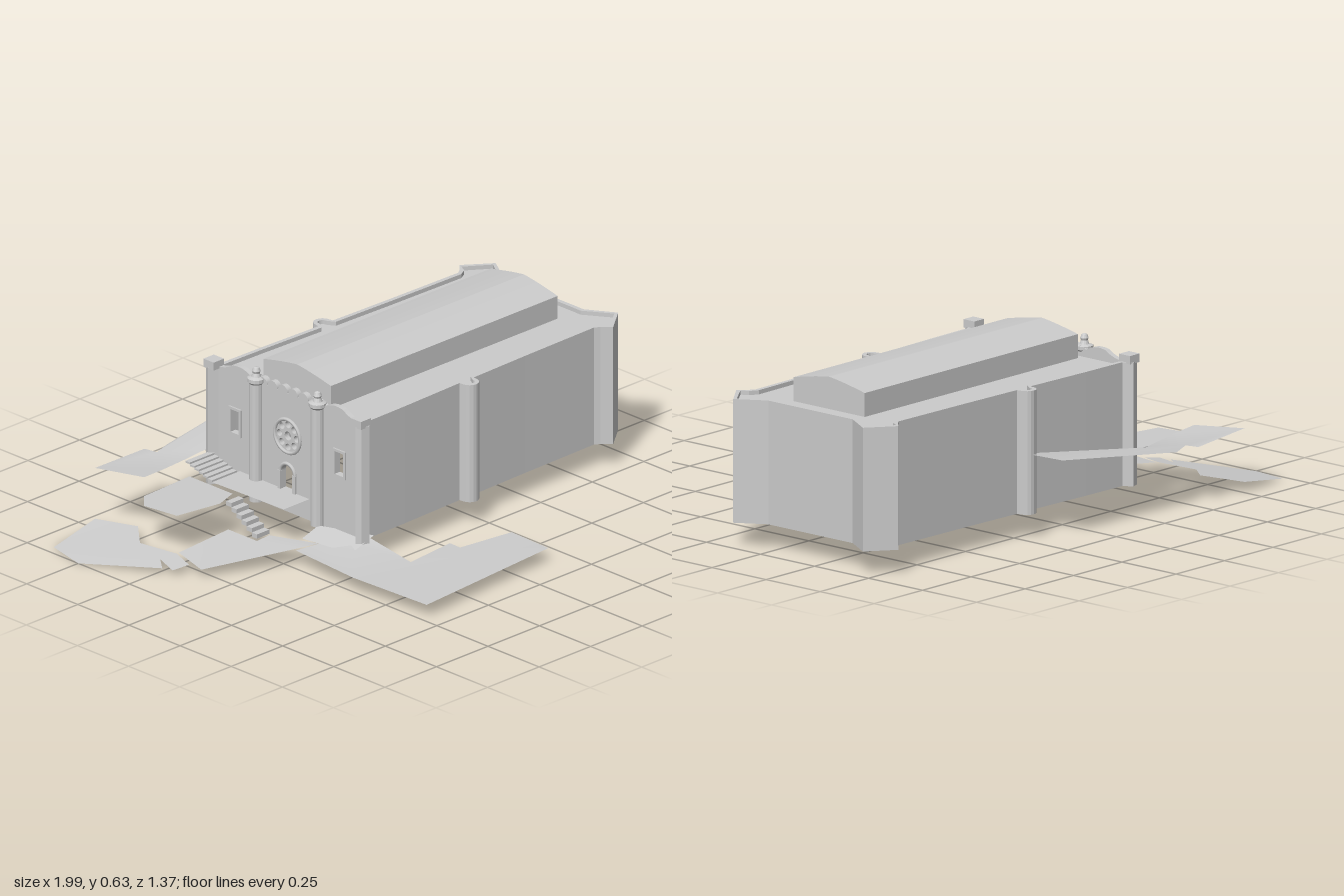
import * as THREE from 'three';

const MID = -0.165; // symmetry line of the hall in z
const BASE = 0.09, EAVES = 0.53;

const mat = new THREE.MeshStandardMaterial({ color: 0xcccccc, side: THREE.DoubleSide });
const flat = new THREE.MeshStandardMaterial({ color: 0xcccccc, side: THREE.DoubleSide, flatShading: true });

function add(parent, name, geometry, material = mat) {
  const mesh = new THREE.Mesh(geometry, material);
  mesh.name = name;
  parent.add(mesh);
  return mesh;
}
const shapeOf = (pts) => new THREE.Shape(pts.map((p) => new THREE.Vector2(p[0], p[1])));

// Plan shape (x, z) extruded downward from a top height
function slab(shape, top, depth) {
  return new THREE.ExtrudeGeometry(shape, { depth, bevelEnabled: false }).rotateX(Math.PI / 2).translate(0, top, 0);
}
// Elevation shape (z, y) extruded from x0 towards -x
function upright(shape, x0, depth) {
  return new THREE.ExtrudeGeometry(shape, { depth, bevelEnabled: false, curveSegments: 10 }).rotateY(-Math.PI / 2).translate(x0, 0, 0);
}
// Thin ground sheet whose height follows a rule
function sheet(pts, height) {
  const g = new THREE.ShapeGeometry(shapeOf(pts)).rotateX(Math.PI / 2);
  const p = g.attributes.position;
  for (let i = 0; i < p.count; i++) p.setY(i, height(p.getX(i), p.getZ(i)));
  g.computeVertexNormals();
  return g;
}
// Piecewise linear interpolation through [position, value] pairs
function ramp(keys, t) {
  for (let i = 1; i < keys.length; i++) {
    const [a, va] = keys[i - 1], [b, vb] = keys[i];
    if (t <= b) return va + (vb - va) * Math.max(0, (t - a) / (b - a));
  }
  return keys[keys.length - 1][1];
}
// Offset an open path to its right-hand side
function inset(path, d) {
  return path.map((p, i) => {
    const a = path[Math.max(0, i - 1)], b = path[Math.min(path.length - 1, i + 1)];
    const dx = b[0] - a[0], dz = b[1] - a[1], l = Math.hypot(dx, dz);
    return [p[0] + (dz / l) * d, p[1] - (dx / l) * d];
  });
}

// Half of the wall plan: x and distance from the symmetry line
function halfPlan() {
  const buttress = [];
  for (let i = 0; i <= 8; i++) {
    const a = Math.PI * (1 - i / 8);
    buttress.push([0.21 + 0.033 * Math.cos(a), 0.36 + 0.033 * Math.sin(a)]);
  }
  return [[-0.31, 0.335], [-0.345, 0.36], [-0.335, 0.38], [-0.305, 0.39], [-0.285, 0.357], [-0.1, 0.354], [0.175, 0.345],
    ...buttress, [0.245, 0.345], [0.5, 0.338], [0.84, 0.332], [0.86, 0.345], [0.89, 0.376], [0.99, 0.3], [0.926, 0.195]];
}

function createHall() {
  const hall = new THREE.Group();
  hall.name = 'hall';
  const half = halfPlan();
  const plan = [...half.map(([x, d]) => [x, MID + d]), ...half.slice().reverse().map(([x, d]) => [x, MID - d])];
  const inner = inset(plan, -0.016).every(([x]) => x < 0.985) ? inset(plan, -0.016) : inset(plan, 0.016);
  add(hall, 'outerWall', slab(shapeOf([...plan, ...inner.reverse()]), EAVES, EAVES - BASE), flat);
  add(hall, 'aisleRoof', sheet(plan, () => 0.515));

  // Raised middle roof with a shallow curved pitch
  const roof = new THREE.Shape();
  roof.moveTo(MID - 0.165, 0.51);
  roof.lineTo(MID + 0.165, 0.51);
  roof.lineTo(MID + 0.165, 0.6);
  roof.quadraticCurveTo(MID + 0.07, 0.622, MID, 0.63);
  roof.quadraticCurveTo(MID - 0.07, 0.622, MID - 0.165, 0.6);
  roof.closePath();
  add(hall, 'raisedRoof', upright(roof, 0.83, 1.1));
  return hall;
}

function rectPath(z, y, w, h) {
  return new THREE.Path().setFromPoints([[-1, -1], [-1, 1], [1, 1], [1, -1]].map(([a, b]) => new THREE.Vector2(z + (a * w) / 2, y + (b * h) / 2)));
}
function circlePath(z, y, r) {
  return new THREE.Path().absarc(z, y, r, 0, Math.PI * 2, true);
}

function createFacade() {
  const facade = new THREE.Group();
  facade.name = 'facade';

  // Middle bay with a scalloped crest, rose window and arched door
  const bay = new THREE.Shape();
  bay.moveTo(MID - 0.15, BASE);
  bay.lineTo(MID + 0.15, BASE);
  bay.lineTo(MID + 0.15, 0.535);
  for (let i = 0; i < 6; i++) bay.absarc(MID + 0.125 - i * 0.05, 0.535, 0.023, 0, Math.PI, false);
  bay.lineTo(MID - 0.15, 0.535);
  bay.closePath();
  const door = new THREE.Path();
  door.moveTo(MID - 0.03, 0.17);
  door.lineTo(MID - 0.03, 0.235);
  door.absarc(MID, 0.235, 0.03, Math.PI, 0, true);
  door.lineTo(MID + 0.03, 0.17);
  door.closePath();
  bay.holes.push(door, circlePath(MID, 0.375, 0.016));
  for (let i = 0; i < 8; i++) {
    const a = (i * Math.PI) / 4;
    bay.holes.push(circlePath(MID + 0.042 * Math.cos(a), 0.375 + 0.042 * Math.sin(a), 0.0125));
  }
  add(facade, 'middleBay', upright(bay, -0.295, 0.02));
  add(facade, 'roseRim', new THREE.TorusGeometry(0.062, 0.007, 6, 28).rotateY(Math.PI / 2).translate(-0.317, 0.375, MID));
  add(facade, 'doorArch', new THREE.TorusGeometry(0.036, 0.007, 6, 16, Math.PI).rotateY(-Math.PI / 2).translate(-0.317, 0.235, MID));

  for (const s of [-1, 1]) {
    const at = (d) => MID + s * d;
    add(facade, 'doorJamb', new THREE.BoxGeometry(0.014, 0.08, 0.014).translate(-0.317, 0.198, at(0.036)));

    // Side bay with a humped gable and a framed window
    const side = new THREE.Shape();
    side.moveTo(at(0.15), BASE);
    side.lineTo(at(0.345), BASE);
    side.lineTo(at(0.345), 0.53);
    side.quadraticCurveTo(at(0.3), 0.535, at(0.27), 0.556);
    side.quadraticCurveTo(at(0.23), 0.565, at(0.2), 0.552);
    side.lineTo(at(0.18), 0.543);
    side.lineTo(at(0.15), 0.555);
    side.closePath();
    side.holes.push(rectPath(at(0.255), 0.35, 0.04, 0.085));
    add(facade, 'sideBay', upright(side, -0.295, 0.02));
    const frame = shapeOf([[at(0.225), 0.298], [at(0.285), 0.298], [at(0.285), 0.402], [at(0.225), 0.402]]);
    frame.holes.push(rectPath(at(0.255), 0.35, 0.04, 0.085));
    add(facade, 'windowFrame', upright(frame, -0.313, 0.008));

    // Slender round turret with a capped finial
    const turret = [[0.025, BASE], [0.025, 0.53], [0.031, 0.537], [0.031, 0.55], [0.017, 0.555], [0.012, 0.568], [0.015, 0.576], [0.01, 0.588], [0, 0.592]];
    add(facade, 'turret', new THREE.LatheGeometry(turret.map((p) => new THREE.Vector2(...p)), 14).translate(-0.32, 0, at(0.15)), flat);
    add(facade, 'cornerCap', new THREE.BoxGeometry(0.05, 0.03, 0.05).translate(-0.318, 0.54, at(0.36)));
  }
  return facade;
}

function createGrounds() {
  const grounds = new THREE.Group();
  grounds.name = 'grounds';
  const slope = [[-1, 0.003], [-0.86, 0.025], [-0.76, 0.04], [-0.5, 0.07]];
  add(grounds, 'frontYard', sheet(
    [[-0.49, 0.05], [-0.51, 0.35], [-0.48, 0.68], [0.16, 0.63], [0.16, 0.45], [-0.06, 0.42], [-0.06, 0.37], [-0.27, 0.39], [-0.28, 0.2], [-0.34, 0.17], [-0.4, 0.07]],
    (x, z) => ramp([[0.05, 0.065], [0.2, 0.095], [0.36, 0.06], [0.68, 0.053]], z)));
  add(grounds, 'lowerPath', sheet(
    [[-0.79, -0.11], [-0.48, 0.05], [-0.4, 0.07], [-0.45, -0.05], [-0.47, -0.1], [-0.53, -0.1], [-0.53, -0.24], [-0.75, -0.26]],
    (x) => ramp(slope, x)));
  add(grounds, 'outerSlope', sheet(
    [[-0.97, -0.65], [-0.75, -0.67], [-0.7, -0.51], [-0.78, -0.42], [-0.76, -0.26], [-0.79, -0.17], [-0.85, -0.19], [-0.82, -0.28], [-0.86, -0.23], [-1, -0.5]],
    (x) => ramp(slope, x)));
  add(grounds, 'middleTerrace', sheet(
    [[-0.76, -0.42], [-0.7, -0.48], [-0.47, -0.49], [-0.47, -0.28], [-0.56, -0.25], [-0.74, -0.28]], () => 0.17));
  add(grounds, 'upperTerrace', sheet(
    [[-0.75, -0.67], [-0.49, -0.69], [-0.48, -0.64], [-0.4, -0.67], [0.2, -0.68], [0.225, -0.57], [0.18, -0.52], [-0.28, -0.52], [-0.34, -0.55], [-0.45, -0.53], [-0.58, -0.51], [-0.68, -0.5]],
    (x) => ramp([[-0.75, 0.232], [-0.34, 0.21], [0, 0.25], [0.22, 0.305]], x)));
  add(grounds, 'entranceLanding', sheet(
    [[-0.45, -0.4], [-0.31, -0.4], [-0.31, -0.06], [-0.44, -0.06]], () => 0.17));
  add(grounds, 'cornerLedge', sheet(
    [[-0.41, 0], [-0.33, 0], [-0.28, 0.22], [-0.39, 0.22]], (x) => ramp([[-0.41, 0.07], [-0.28, 0.11]], x)));

  // Two short flights, each climbing towards the back
  const flights = [[-0.5, 0.06, -0.1, -0.25, 0.075, 0.17], [-0.39, 0.12, -0.4, -0.53, 0.17, 0.21]];
  for (const [x, width, z0, z1, y0, y1] of flights) {
    const n = 6, run = (z0 - z1) / n, rise = (y1 - y0) / n;
    for (let i = 0; i < n; i++)
      add(grounds, 'step', new THREE.BoxGeometry(width, rise, run).translate(x, y0 + rise * (i + 0.5), z0 - run * (i + 0.5)));
  }
  return grounds;
}

export function createModel() {
  const model = new THREE.Group();
  model.name = 'hallWithGrounds';
  model.add(createHall(), createFacade(), createGrounds());
  return model;
}
